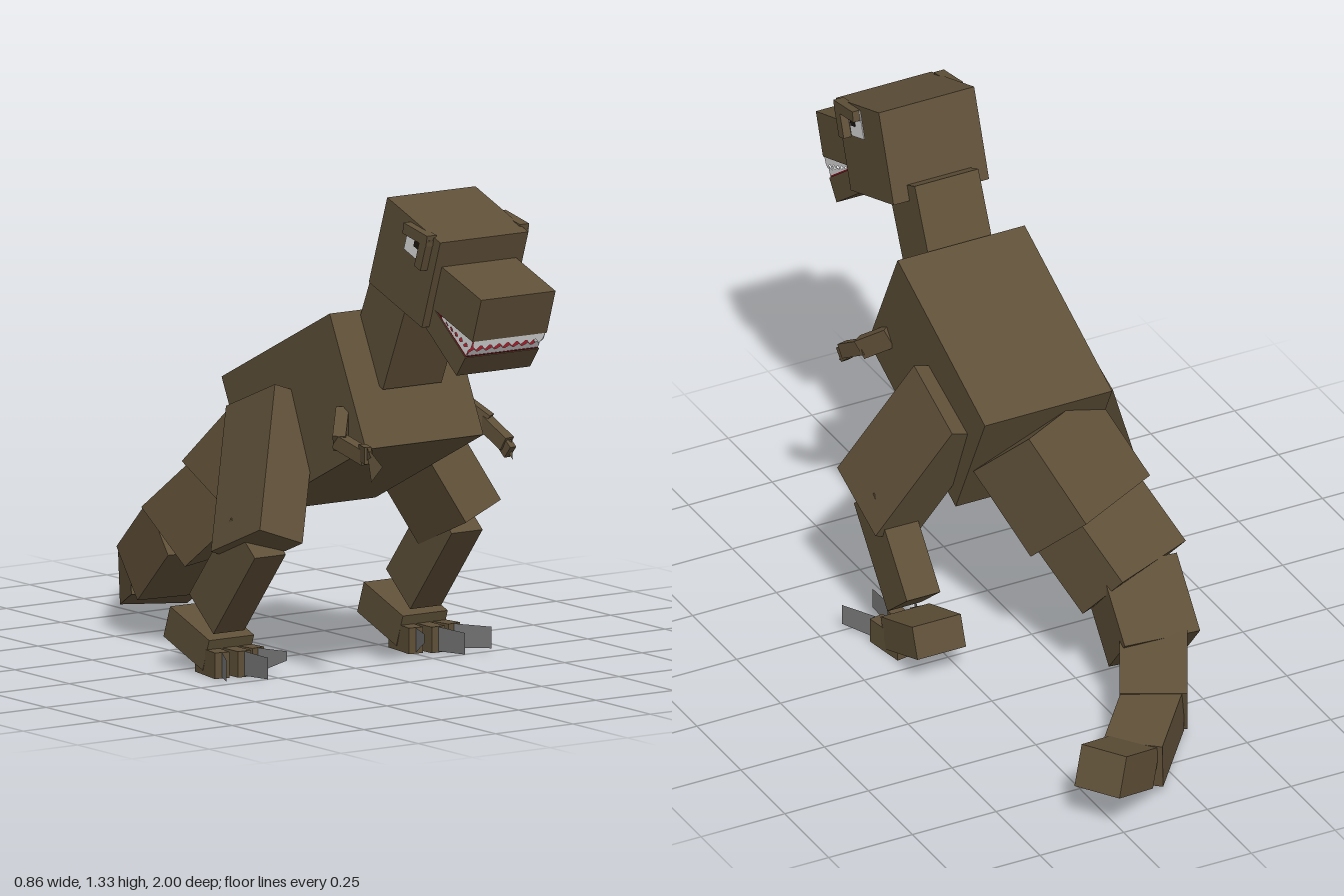
import * as THREE from 'three';

const paint = (name, color, extra = {}) => {
  const m = new THREE.MeshStandardMaterial({ color, ...extra });
  m.name = name;
  return m;
};
const V = (p) => new THREE.Vector3(...p);

export function createModel() {
  const model = new THREE.Group();
  model.name = 'blockyDinosaur';

  const hide = paint('brownHide', 0x5f5038);
  const claw = paint('greyClaw', 0x777777, { side: THREE.DoubleSide });
  const white = paint('toothWhite', 0xdedede, { side: THREE.DoubleSide });
  const red = paint('mouthRed', 0x8a1420);
  const dark = paint('pupilDark', 0x1c1812);

  // Box running from a to b, w wide and h high, its top turned towards up
  function bar(name, a, b, w, h, extend = 0, up = [0, 1, 0]) {
    const A = V(a), B = V(b);
    const mesh = new THREE.Mesh(new THREE.BoxGeometry(w, h, A.distanceTo(B) + extend), hide);
    mesh.name = name;
    mesh.up.set(...up);
    mesh.position.copy(A).lerp(B, 0.5);
    mesh.lookAt(B);
    model.add(mesh);
    return mesh;
  }
  // Small box fixed to a parent part
  function block(parent, name, size, pos, mat = hide) {
    const mesh = new THREE.Mesh(new THREE.BoxGeometry(...size), mat);
    mesh.name = name;
    mesh.position.set(...pos);
    parent.add(mesh);
    return mesh;
  }
  // Flat plate through corner points
  function plate(name, pts, mat) {
    const geo = new THREE.BufferGeometry().setFromPoints(pts.map(V));
    const index = [];
    for (let i = 1; i < pts.length - 1; i++) index.push(0, i, i + 1);
    geo.setIndex(index);
    geo.computeVertexNormals();
    const mesh = new THREE.Mesh(geo, mat);
    mesh.name = name;
    model.add(mesh);
  }
  // Zigzag row of teeth, height going from h0 to h1 (negative hangs down)
  function teeth(parent, name, length, n, h0, h1, pos, turn) {
    const shape = new THREE.Shape().moveTo(-length / 2, 0);
    for (let i = 0; i < n; i++) {
      const h = h0 + ((h1 - h0) * i) / Math.max(1, n - 1);
      const x = -length / 2 + (length * i) / n, d = length / n;
      shape.lineTo(x + d * 0.1, h * 0.6).lineTo(x + d * 0.5, h).lineTo(x + d * 0.9, h * 0.6);
    }
    shape.lineTo(length / 2, 0);
    const mesh = new THREE.Mesh(new THREE.ShapeGeometry(shape), white);
    mesh.name = name;
    mesh.position.set(...pos);
    mesh.rotation.y = turn;
    parent.add(mesh);
  }

  // Trunk, neck and head
  bar('body', [0, 0.5835, -0.013], [0, 0.827, 0.4845], 0.38, 0.379);
  bar('neck', [0, 0.834, 0.433], [0, 1.12, 0.5615], 0.19, 0.17);
  const head = bar('head', [0, 1.214, 0.556], [0, 1.128, 0.8], 0.285, 0.255);
  const snout = bar('upperJaw', [0, 1.126, 0.775], [0, 1.056, 0.979], 0.24, 0.125);
  const jaw = bar('lowerJaw', [0, 1.045, 0.743], [0, 0.922, 0.904], 0.238, 0.068);

  // Mouth lining and teeth
  block(jaw, 'mouthLining', [0.232, 0.006, 0.19], [0, 0.035, 0.004], red);
  teeth(snout, 'upperFrontTeeth', 0.232, 8, -0.028, -0.028, [0, -0.0625, 0.106], 0);
  teeth(jaw, 'lowerFrontTeeth', 0.232, 8, 0.024, 0.024, [0, 0.038, 0.098], 0);
  for (const s of [1, -1]) {
    // rows run from the front of the mouth backwards
    teeth(snout, 'upperSideTeeth', 0.15, 6, -0.034, -0.012, [s * 0.117, -0.0625, 0.031], Math.PI / 2);
    teeth(jaw, 'lowerSideTeeth', 0.13, 6, 0.028, 0.006, [s * 0.116, 0.036, 0.033], Math.PI / 2);
  }

  // Eyes with heavy brows
  for (const s of [1, -1]) {
    block(head, 'eye', [0.006, 0.08, 0.075], [s * 0.142, 0.075, 0.025], white);
    block(head, 'pupil', [0.006, 0.03, 0.025], [s * 0.1445, 0.08, 0.04], dark);
    block(head, 'brow', [0.03, 0.03, 0.11], [s * 0.15, 0.11, 0.045]).rotation.x = -0.15;
    block(head, 'browFront', [0.03, 0.09, 0.03], [s * 0.15, 0.075, 0.085]);
  }

  // Tail of tapering blocks, swinging to one side
  const joints = [
    [0, 0.634, -0.02], [-0.08, 0.447, -0.17], [-0.14, 0.313, -0.305], [-0.125, 0.179, -0.455],
    [-0.024, 0.115, -0.647], [0.13, 0.095, -0.83], [0.285, 0.165, -0.935],
  ];
  const tailSize = [[0.3, 0.24], [0.27, 0.2], [0.215, 0.17], [0.18, 0.14], [0.16, 0.13], [0.135, 0.115]];
  tailSize.forEach(([w, h], i) => {
    bar('tailSegment' + (i + 1), joints[i], joints[i + 1], w, h, i < 5 ? 0.02 : 0);
  });

  // Legs, feet and toes
  for (const s of [1, -1]) {
    bar('thigh', [s * 0.176, 0.716, 0.115], [s * 0.328, 0.362, 0.262], 0.135, 0.24, 0, [0, 0.357, 0.934]);
    bar('shin', [s * 0.318, 0.39, 0.255], [s * 0.318, 0.158, 0.064], 0.1, 0.144);
    bar('foot', [s * 0.313, 0.12, -0.07], [s * 0.313, 0.055, 0.11], 0.145, 0.09);
    for (const [x0, x1, z1, x2, z2, tip] of [
      [0.27, 0.255, 0.165, 0.222, 0.25, 0.045],
      [0.313, 0.313, 0.185, 0.318, 0.3, 0.012],
      [0.355, 0.375, 0.17, 0.428, 0.265, 0.012],
    ]) {
      bar('toe', [s * x0, 0.036, 0.05], [s * x1, 0.036, z1], 0.042, 0.07);
      plate('toeClaw', [
        [s * x1, 0.004, z1], [s * x2, tip, z2], [s * x2, 0.07, z2], [s * x1, 0.07, z1],
      ], claw);
    }
  }

  // Small arms, one reaching further forward than the other
  const arms = [
    [[0.185, 0.73, 0.455], [0.23, 0.68, 0.515], [0.245, 0.635, 0.59]],
    [[-0.185, 0.73, 0.455], [-0.237, 0.675, 0.515], [-0.232, 0.65, 0.625]],
  ];
  for (const [shoulder, elbow, wrist] of arms) {
    bar('upperArm', shoulder, elbow, 0.035, 0.055, 0.015);
    bar('forearm', elbow, wrist, 0.032, 0.04, 0.015);
  }
  // Hands with thin fingers
  bar('rightHand', [-0.232, 0.66, 0.61], [-0.255, 0.662, 0.67], 0.02, 0.045);
  bar('leftHand', [0.245, 0.635, 0.58], [0.247, 0.61, 0.61], 0.02, 0.04);
  const finger = hide.clone();
  finger.name = 'fingerBrown';
  finger.side = THREE.DoubleSide;
  plate('rightFinger', [[-0.25, 0.645, 0.655], [-0.29, 0.67, 0.735], [-0.255, 0.685, 0.665]], finger);
  plate('rightFinger', [[-0.25, 0.685, 0.655], [-0.262, 0.595, 0.695], [-0.25, 0.64, 0.73]], finger);
  plate('leftFinger', [[0.235, 0.63, 0.59], [0.252, 0.59, 0.615], [0.25, 0.645, 0.61]], finger);

  return model;
}
